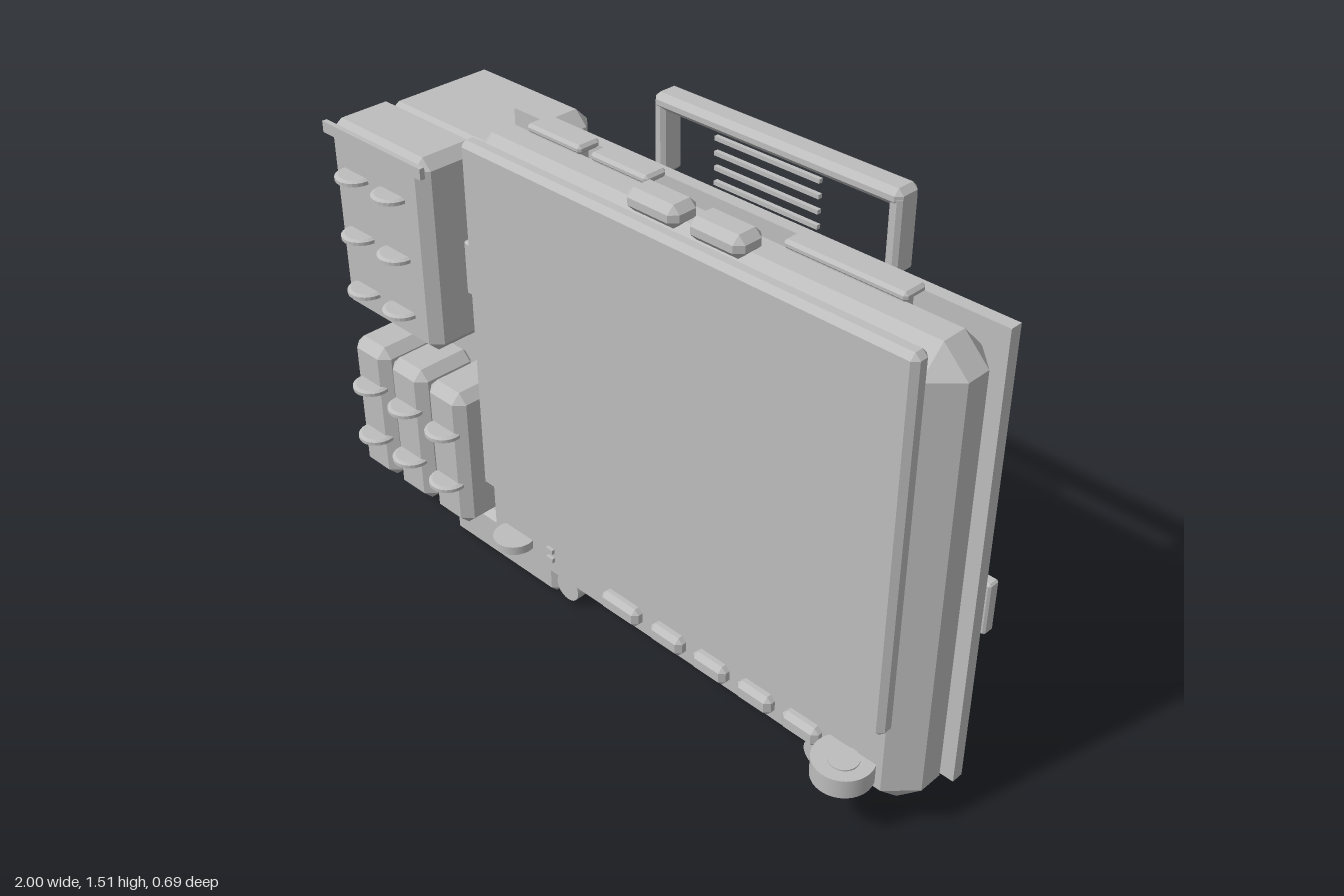
import * as THREE from 'three';
import { ConvexGeometry } from 'three/addons/geometries/ConvexGeometry.js';

const grey = new THREE.MeshStandardMaterial({ color: 0xbdbdbd });
grey.name = 'casing grey';

// Solid from corner points
const hull = (pts) => new ConvexGeometry(pts.map((p) => new THREE.Vector3(...p)));

// Box between two corners with every edge chamfered by c
function chamferGeometry(x0, x1, y0, y1, z0, z1, c) {
  const pts = [];
  for (const [x, sx] of [[x0, 1], [x1, -1]])
    for (const [y, sy] of [[y0, 1], [y1, -1]])
      for (const [z, sz] of [[z0, 1], [z1, -1]]) {
        const a = x + sx * c, b = y + sy * c, d = z + sz * c;
        pts.push([x, b, d], [a, y, d], [a, b, z]);
      }
  return hull(pts);
}

export function createModel() {
  const model = new THREE.Group();
  model.name = 'portableDisplayUnit';

  const add = (name, geometry, x = 0, y = 0, z = 0) => {
    const mesh = new THREE.Mesh(geometry, grey);
    mesh.name = name;
    mesh.position.set(x, y, z);
    model.add(mesh);
    return mesh;
  };
  const chamfer = (name, x0, x1, y0, y1, z0, z1, c) =>
    add(name, chamferGeometry(x0, x1, y0, y1, z0, z1, c));
  const box = (name, x0, x1, y0, y1, z0, z1) =>
    add(name, new THREE.BoxGeometry(x1 - x0, y1 - y0, z1 - z0), (x0 + x1) / 2, (y0 + y1) / 2, (z0 + z1) / 2);

  // Front shell and screen panel
  chamfer('frontShell', -0.54, 1, 0.08, 1.385, 0, 0.21, 0.07);
  chamfer('screenPanel', -0.48, 0.94, 0.345, 1.395, 0.19, 0.243, 0.015);

  // Tapered rear housing: rim, then slope to the back face
  const rings = [
    [-0.54, 1, 0.08, 1.385, 0.005],
    [-0.54, 1, 0.08, 1.385, -0.03],
    [-0.365, 0.83, 0.25, 1.21, -0.283],
  ];
  add('rearHousing', hull(rings.flatMap(([x0, x1, y0, y1, z]) =>
    [[x0, y0, z], [x1, y0, z], [x1, y1, z], [x0, y1, z]])));

  // Side module with its pouches
  chamfer('sideModule', -1, -0.54, 0.1, 1.29, -0.283, 0.1, 0.04);
  chamfer('upperPouch', -0.98, -0.58, 0.735, 1.308, 0.08, 0.287, 0.03);
  box('pouchLip', -0.985, -0.575, 1.268, 1.3, 0.28, 0.295);
  for (const x of [-0.91, -0.745, -0.58])
    chamfer('lowerPouch', x - 0.075, x + 0.075, 0.19, 0.63, 0.08, 0.287, 0.028);

  // Flat disc tabs on the pouches
  const tabProfile = [[0, -0.01], [0.045, -0.01], [0.055, -0.005], [0.055, 0.005], [0.045, 0.01], [0, 0.01]]
    .map(([r, y]) => new THREE.Vector2(r, y));
  const tabGeometry = new THREE.LatheGeometry(tabProfile, 24).toNonIndexed();
  tabGeometry.computeVertexNormals();
  const tabs = [];
  for (const y of [0.83, 1, 1.175]) for (const x of [-0.87, -0.715]) tabs.push([x, y]);
  for (const y of [0.33, 0.5]) for (const x of [-0.9, -0.74, -0.575]) tabs.push([x, y]);
  for (const [x, y] of tabs) add('pouchTab', tabGeometry, x, y, 0.288);

  // Base block and round feet
  chamfer('baseBlock', -0.73, -0.28, 0.003, 0.15, -0.26, 0.16, 0.02);
  const footGeometry = new THREE.CylinderGeometry(0.043, 0.043, 0.032, 24).rotateX(Math.PI / 2);
  for (const [x, z] of [[-0.235, 0.14], [0.69, 0.14], [-0.155, -0.205], [0.61, -0.205]])
    add('foot', footGeometry, x, 0.06, z);

  // Carrying handle
  for (const x of [-0.137, 0.592])
    chamfer('handlePost', x - 0.018, x + 0.018, 1.295, 1.5, -0.183, -0.112, 0.01);
  chamfer('handleBar', -0.155, 0.61, 1.47, 1.514, -0.187, -0.108, 0.015);

  // Top keys
  for (const x of [0.045, 0.245])
    chamfer('topButton', x, x + 0.168, 1.375, 1.435, 0.097, 0.19, 0.02);
  for (const [x0, x1] of [[-0.41, -0.215], [-0.18, 0.015], [0.44, 0.785]])
    chamfer('topPad', x0, x1, 1.385, 1.409, 0.008, 0.08, 0.008);
  // Supports joining the flat pads to the sloping shell edge
  for (const [x0, x1] of [[-0.4, -0.225], [-0.17, 0.005], [0.45, 0.775]])
    box('padBase', x0, x1, 1.33, 1.388, 0.04, 0.075);

  // Front controls
  for (const [x0, x1] of [[-0.015, 0.122], [0.17, 0.283], [0.324, 0.437], [0.478, 0.591], [0.63, 0.745]])
    chamfer('frontButton', x0, x1, 0.17, 0.227, 0.19, 0.238, 0.014);
  for (const y of [0.198, 0.228]) box('indicator', -0.248, -0.222, y - 0.007, y + 0.007, 0.2, 0.22);
  add('smallDial', new THREE.CylinderGeometry(0.06, 0.06, 0.026, 32), -0.37, 0.203, 0.228);
  add('largeDial', new THREE.CylinderGeometry(0.08, 0.08, 0.056, 32), 0.84, 0.196, 0.245);
  add('largeDialCap', new THREE.CylinderGeometry(0.04, 0.04, 0.064, 24), 0.845, 0.196, 0.25);
  chamfer('sideLatch', -0.556, -0.51, 0.905, 1.065, 0.11, 0.19, 0.006);

  // Rear cover with label, access plates and screws
  chamfer('rearCover', -0.325, 0.785, 0.285, 1.165, -0.303, -0.27, 0.008);
  box('rearLabel', 0.46, 0.705, 0.945, 1.055, -0.308, -0.3);
  chamfer('accessPlate', 0.05, 0.435, 0.605, 0.995, -0.32, -0.295, 0.006);
  chamfer('lowerPlate', -0.325, 0.11, 0.525, 0.685, -0.316, -0.295, 0.006);
  const screwGeometry = new THREE.CylinderGeometry(0.014, 0.014, 0.03, 16).rotateX(Math.PI / 2);
  for (const x of [0.08, 0.39]) for (const y of [0.655, 0.965]) add('screw', screwGeometry, x, y, -0.325);

  // Row of vent slats
  for (let i = 0; i < 8; i++) {
    const y = 1.335 - i * 0.042;
    box('ventSlat', -0.125, 0.225, y - 0.006, y + 0.006, -0.316, -0.303);
  }

  // Connector strip and ports
  chamfer('connectorStrip', 0.225, 0.86, 0.285, 0.45, -0.32, -0.28, 0.006);
  for (const [x0, x1] of [[0.3, 0.38], [0.41, 0.46], [0.49, 0.54], [0.585, 0.695], [0.735, 0.8]])
    chamfer('port', x0, x1, 0.345, 0.392, -0.341, -0.31, 0.005);

  // Power socket frame, insert and side knob
  const frame = new THREE.Shape([[-0.06, -0.047], [0.06, -0.047], [0.06, 0.047], [-0.06, 0.047]]
    .map(([x, y]) => new THREE.Vector2(x, y)));
  frame.holes.push(new THREE.Path([[-0.042, -0.03], [-0.042, 0.03], [0.042, 0.03], [0.042, -0.03]]
    .map(([x, y]) => new THREE.Vector2(x, y))));
  add('socketFrame', new THREE.ExtrudeGeometry(frame, { depth: 0.04, bevelEnabled: false }), -0.11, 0.345, -0.338);
  box('socketInsert', -0.14, -0.08, 0.325, 0.365, -0.33, -0.295);
  add('rearKnob', new THREE.CylinderGeometry(0.025, 0.025, 0.055, 20), -0.31, 0.325, -0.318);

  return model;
}
